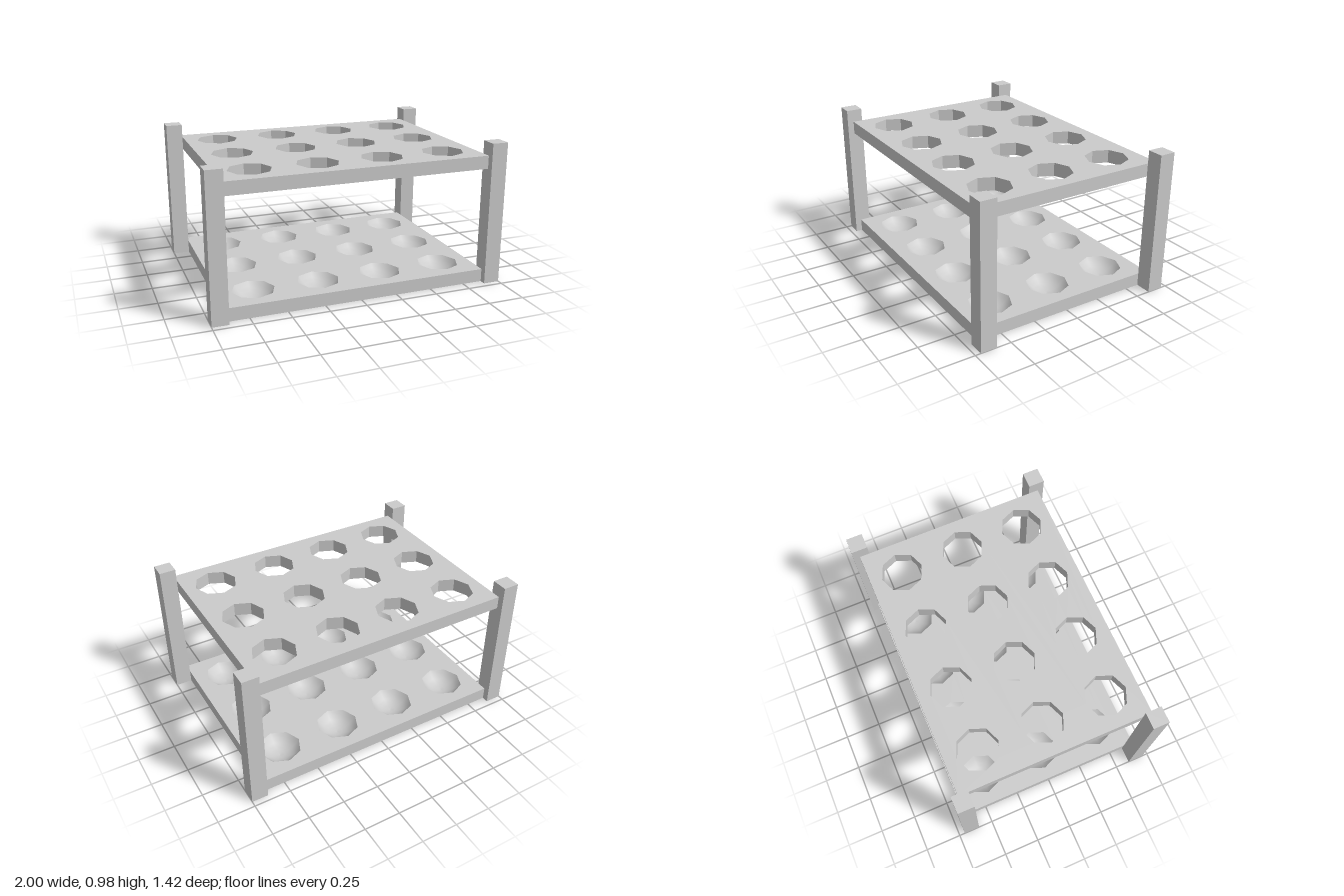
import * as THREE from 'three';

const HALF_X = 0.889, HALF_Z = 0.667, THICK = 0.089;
const HEIGHT = 0.978, POST = 0.111, POST_Z = 0.711;
const UPPER_Y = 0.8, HOLE_R = 0.143, DIMPLE_DEPTH = 0.077;
const PITCH = 0.4445, COLS = 4, ROWS = 3, SIDES = 8;

const material = new THREE.MeshStandardMaterial({ color: 0xcccccc });

function addPart(parent, name, geometry, x = 0, y = 0, z = 0) {
  const mesh = new THREE.Mesh(geometry, material);
  mesh.name = name;
  mesh.position.set(x, y, z);
  parent.add(mesh);
  return mesh;
}

// Centres of the grid of tube positions
function tubeCentres() {
  const centres = [];
  for (let r = 0; r < ROWS; r++)
    for (let c = 0; c < COLS; c++)
      centres.push([(c - (COLS - 1) / 2) * PITCH, (r - (ROWS - 1) / 2) * PITCH]);
  return centres;
}

// Rectangular outline pierced by octagonal holes
function piercedShape() {
  const shape = new THREE.Shape([
    new THREE.Vector2(-HALF_X, -HALF_Z), new THREE.Vector2(HALF_X, -HALF_Z),
    new THREE.Vector2(HALF_X, HALF_Z), new THREE.Vector2(-HALF_X, HALF_Z),
  ]);
  for (const [x, z] of tubeCentres()) {
    const ring = [];
    for (let i = 0; i < SIDES; i++) {
      const a = (-i / SIDES) * Math.PI * 2;
      ring.push(new THREE.Vector2(x + HOLE_R * Math.cos(a), z + HOLE_R * Math.sin(a)));
    }
    shape.holes.push(new THREE.Path(ring));
  }
  return shape;
}

// Shallow spherical bowl, profile running from the rim down to the axis
function dimpleGeometry() {
  const R = (HOLE_R ** 2 + DIMPLE_DEPTH ** 2) / (2 * DIMPLE_DEPTH);
  const rimAngle = Math.asin(HOLE_R / R);
  const profile = [];
  for (let i = 0; i <= 5; i++) {
    const a = rimAngle * (1 - i / 5);
    profile.push(new THREE.Vector2(R * Math.sin(a), R - DIMPLE_DEPTH - R * Math.cos(a)));
  }
  return new THREE.LatheGeometry(profile, SIDES);
}

export function createModel() {
  const rack = new THREE.Group();
  rack.name = 'tubeRack';

  // Corner posts
  const postGeo = new THREE.BoxGeometry(POST, HEIGHT, POST);
  for (const sx of [-1, 1])
    for (const sz of [-1, 1])
      addPart(rack, `${sz > 0 ? 'front' : 'back'}${sx > 0 ? 'Left' : 'Right'}Post`, postGeo,
        sx * (1 - POST / 2), HEIGHT / 2, sz * (POST_Z - POST / 2));

  // Upper shelf with through holes
  const upperGeo = new THREE.ExtrudeGeometry(piercedShape(), { depth: THICK, bevelEnabled: false });
  upperGeo.rotateX(-Math.PI / 2);
  addPart(rack, 'upperShelf', upperGeo, 0, UPPER_Y, 0);

  // Lower shelf: open-topped box, pierced top face and a dimple under each hole
  const lower = new THREE.Group();
  lower.name = 'lowerShelf';
  rack.add(lower);
  const body = new THREE.BoxGeometry(2 * HALF_X, THICK, 2 * HALF_Z);
  const faces = Array.from(body.index.array);
  faces.splice(12, 6); // leave out the top face
  body.setIndex(faces);
  body.clearGroups();
  addPart(lower, 'lowerShelfBody', body, 0, THICK / 2, 0);
  addPart(lower, 'lowerShelfTop', new THREE.ShapeGeometry(piercedShape()).rotateX(-Math.PI / 2), 0, THICK, 0);
  const dimple = dimpleGeometry();
  for (const [x, z] of tubeCentres()) addPart(lower, 'dimple', dimple, x, THICK, z);

  return rack;
}
